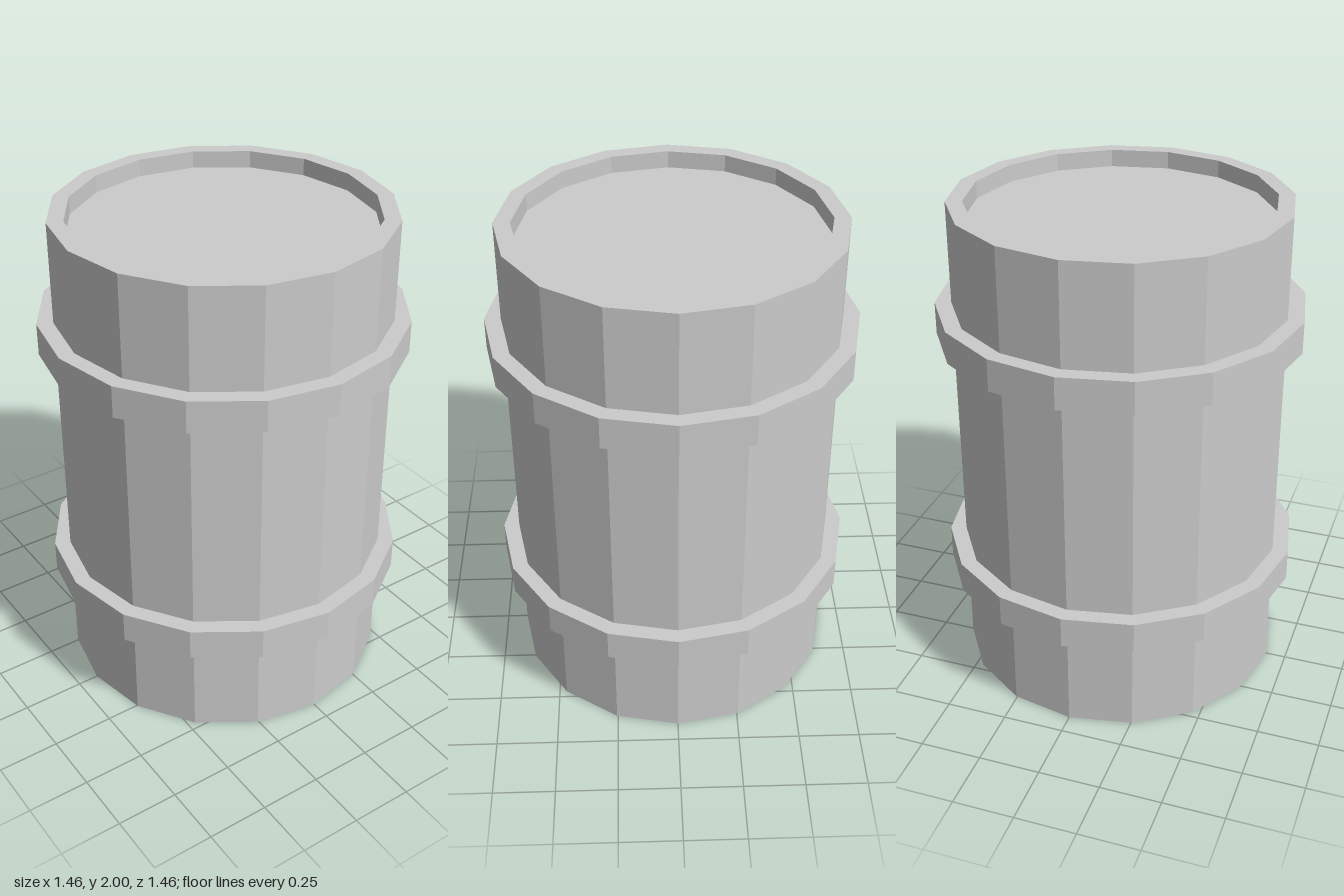
import * as THREE from 'three';

const SIDES = 16;
const BODY_R = 0.665, RIM_R = 0.6, HOOP_R = 0.73;
const HEIGHT = 2, LID_Y = 1.93, HOOP_H = 0.13;

export function createModel() {
  const group = new THREE.Group();
  group.name = 'barrel';
  const material = new THREE.MeshStandardMaterial({ color: 0xcccccc, flatShading: true });

  // Revolve a [radius, height] profile, listed from bottom to top along the outside
  const addLathe = (name, profile) => {
    const points = profile.map(([r, y]) => new THREE.Vector2(r, y));
    const mesh = new THREE.Mesh(new THREE.LatheGeometry(points, SIDES), material);
    mesh.name = name;
    group.add(mesh);
  };

  // Drum: base, wall and raised rim
  addLathe('body', [[0, 0], [BODY_R, 0], [BODY_R, HEIGHT], [RIM_R, HEIGHT], [RIM_R, LID_Y]]);

  // Lid sunk below the rim
  addLathe('lid', [[RIM_R, LID_Y], [0, LID_Y]]);

  // Two hoops around the wall
  for (const [name, y] of [['lowerHoop', 0.415], ['upperHoop', 1.46]]) {
    addLathe(name, [[BODY_R, y], [HOOP_R, y], [HOOP_R, y + HOOP_H], [BODY_R, y + HOOP_H]]);
  }

  return group;
}
